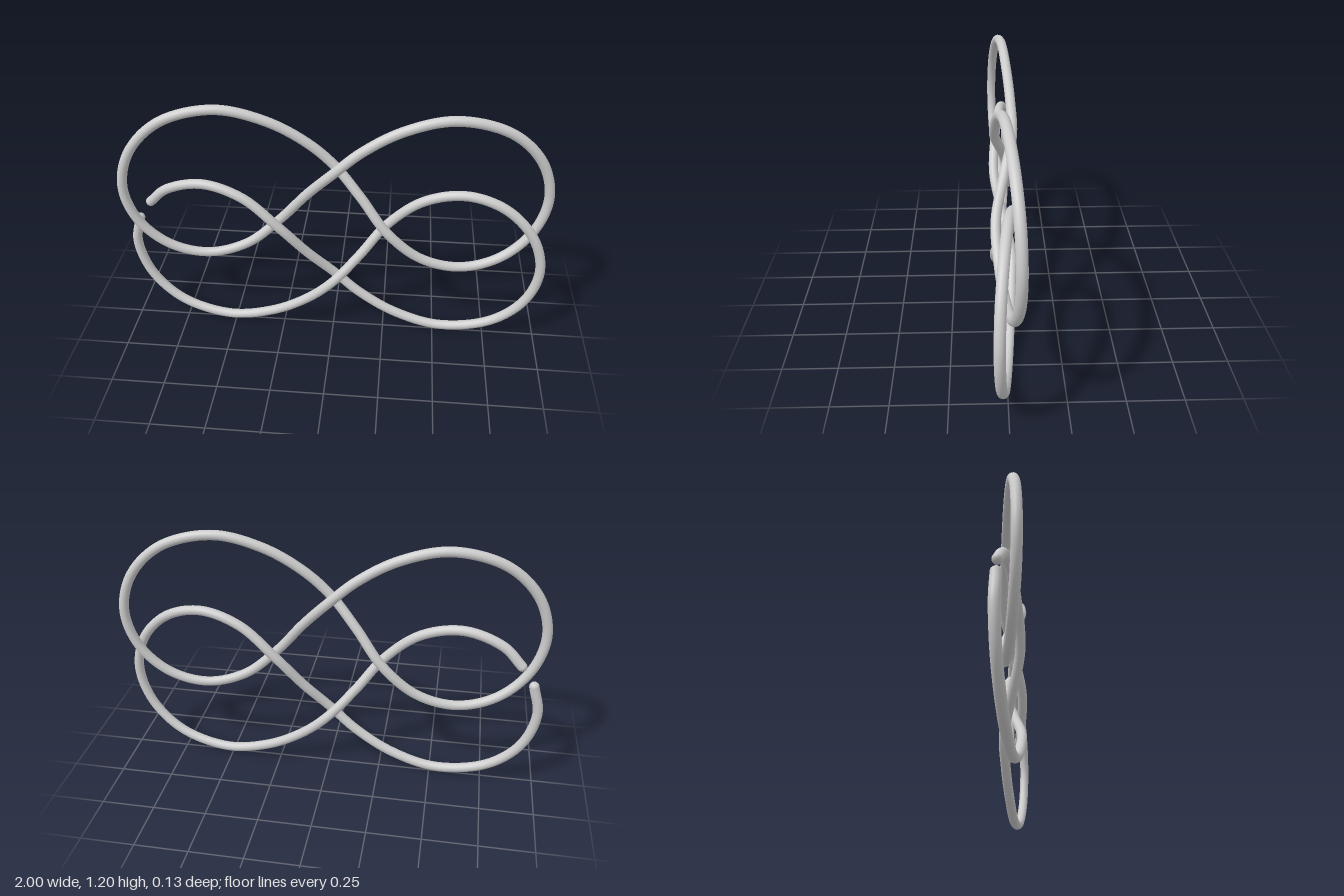
import * as THREE from 'three';

const RADIUS = 0.023;
const MID = 0.6; // height of the knot's axis

// Right half of the lower strand: from the centre crossing, round the big lobe, back over the small one
const HALF = [
  [0, 0.295, -0.04], [0.13, 0.178, -0.036], [0.31, 0.075, -0.022], [0.53, 0.024, -0.005],
  [0.77, 0.084, 0.016], [0.92, 0.23, 0.033], [0.975, 0.42, 0.04], [0.925, 0.605, 0.035],
  [0.79, 0.745, 0.018], [0.61, 0.797, -0.004], [0.42, 0.745, -0.027], [0.254, 0.6, -0.04],
  [0.125, 0.435, 0],
];

const vec = ([x, y, z]) => new THREE.Vector3(x, y, z);
const turnY = ([x, y, z]) => [-x, y, -z];          // other half of the same strand
const turnX = ([x, y, z]) => [x, 2 * MID - y, -z]; // upper strand

export function createModel() {
  const group = new THREE.Group();
  const material = new THREE.MeshStandardMaterial({ color: 0xcccccc });
  const add = (geometry, name) => {
    const mesh = new THREE.Mesh(geometry, material);
    mesh.name = name;
    group.add(mesh);
    return mesh;
  };
  const rope = (points, closed, name) => {
    const curve = new THREE.CatmullRomCurve3(points.map(vec), closed, 'centripetal');
    add(new THREE.TubeGeometry(curve, 320, RADIUS, 16, closed), name);
  };

  // Closed upper loop
  const loop = [...HALF, ...HALF.map(turnY)];
  rope(loop.map(turnX), true, 'closedLoop');

  // Lower strand, left open where it passes behind the loop
  const left = HALF.map(turnY);
  const start = [-0.878, 0.662, -0.035];
  const end = [-0.943, 0.565, -0.037];
  rope([start, ...left.slice(8), ...HALF, ...left.slice(0, 7), end], false, 'openStrand');

  // Rounded rope ends
  for (const [point, name] of [[start, 'upperRopeEnd'], [end, 'lowerRopeEnd']]) {
    add(new THREE.SphereGeometry(RADIUS, 16, 12), name).position.copy(vec(point));
  }
  return group;
}
